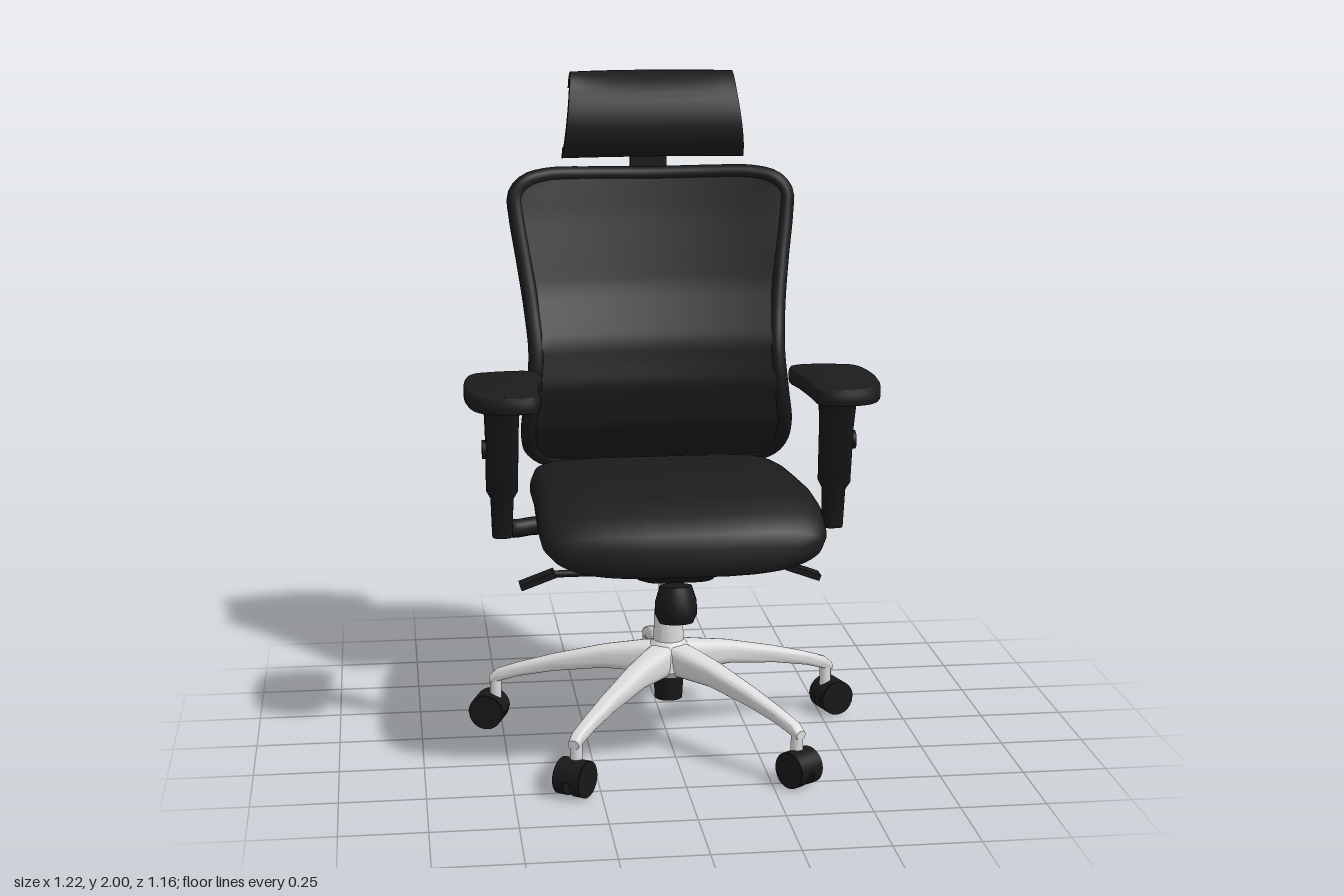
import * as THREE from 'three';
import { toCreasedNormals } from 'three/addons/utils/BufferGeometryUtils.js';

const V = (x, y, z) => new THREE.Vector3(x, y, z);
const mat = (name, color, side = THREE.FrontSide) => {
  const m = new THREE.MeshStandardMaterial({ color, side });
  m.name = name;
  return m;
};
const spow = (v, e) => Math.sign(v) * Math.pow(Math.abs(v), e);

// Skin over rings of equal length; ends closed by zipping opposite points
function loft(rings, crease = 0.7) {
  const n = rings[0].length, pos = [], idx = [];
  rings.forEach(r => r.forEach(p => pos.push(p.x, p.y, p.z)));
  for (let i = 0; i < rings.length - 1; i++)
    for (let j = 0; j < n; j++) {
      const a = i * n + j, b = i * n + (j + 1) % n;
      idx.push(a, b, a + n, b, b + n, a + n);
    }
  const last = (rings.length - 1) * n;
  for (let j = 0; j < n / 2 - 1; j++) {
    const a = j, b = j + 1, c = n - 2 - j, d = n - 1 - j;
    idx.push(a, d, b, b, d, c);
    idx.push(last + a, last + b, last + d, last + b, last + c, last + d);
  }
  // turn faces outward using the enclosed volume
  let vol = 0;
  const at = k => V(pos[3 * k], pos[3 * k + 1], pos[3 * k + 2]);
  for (let k = 0; k < idx.length; k += 3) vol += at(idx[k]).dot(at(idx[k + 1]).cross(at(idx[k + 2])));
  if (vol < 0) idx.reverse();
  const g = new THREE.BufferGeometry();
  g.setAttribute('position', new THREE.Float32BufferAttribute(pos, 3));
  g.setIndex(idx);
  return toCreasedNormals(g, crease);
}

// Outline of a strip of given thickness around a [z, y] centre line
function stripOutline(points, thick, steps) {
  const c = new THREE.CatmullRomCurve3(points.map(([z, y]) => V(0, y, z)));
  const a = [], b = [];
  for (let i = 0; i <= steps; i++) {
    const p = c.getPoint(i / steps), t = c.getTangent(i / steps);
    const o = V(0, -t.z, t.y).multiplyScalar(thick / 2);
    a.push(p.clone().add(o));
    b.unshift(p.clone().sub(o));
  }
  return { a, b };
}

// Flat strap following a [z, y] path with width varying along it
function strap(points, thick, w0, w1, steps = 28) {
  const { a, b } = stripOutline(points, thick, steps);
  return loft(a.map((p, i) => {
    const q = b[b.length - 1 - i], w = w0 + (w1 - w0) * i / steps;
    return [V(-w, p.y, p.z), V(w, p.y, p.z), V(w, q.y, q.z), V(-w, q.y, q.z)];
  }), 0.6);
}

const superRing = (f, n = 32) => Array.from({ length: n }, (_, i) => {
  const t = (i + 0.5) / n * Math.PI * 2;
  return f(Math.cos(t), Math.sin(t));
});

export function createModel() {
  const chair = new THREE.Group();
  chair.name = 'officeChair';
  const fabric = mat('blackFabric', 0x1c1c1c);
  const meshCloth = mat('blackMesh', 0x1a1a1a, THREE.DoubleSide);
  const plastic = mat('blackPlastic', 0x181818);
  const metal = mat('polishedMetal', 0xdcdcdc);
  const add = (name, geo, m, parent = chair, x = 0, y = 0, z = 0) => {
    const o = new THREE.Mesh(geo, m);
    o.name = name;
    o.position.set(x, y, z);
    parent.add(o);
    return o;
  };
  const tube = (pts, r, closed = false, seg = 32) =>
    new THREE.TubeGeometry(new THREE.CatmullRomCurve3(pts, closed), seg, r, 12, closed);

  // Five-star base with hub and gas column
  const base = new THREE.Group();
  base.name = 'base';
  base.position.z = 0.07;
  chair.add(base);
  const profile = [[0, 0.21], [0.07, 0.21], [0.085, 0.23], [0.078, 0.28], [0.046, 0.315], [0.043, 0.41], [0.031, 0.415], [0.031, 0.53]];
  add('hubAndColumn', toCreasedNormals(new THREE.LatheGeometry(profile.map(p => new THREE.Vector2(...p)), 28), 0.6), metal, base);
  add('hubPlug', new THREE.CylinderGeometry(0.047, 0.042, 0.09, 24), plastic, base, 0, 0.175, 0);
  const legStations = [[0, 0.05, 0.31, 0.21], [0.08, 0.044, 0.303, 0.212], [0.2, 0.035, 0.283, 0.214],
    [0.36, 0.026, 0.243, 0.192], [0.47, 0.021, 0.21, 0.168], [0.54, 0.019, 0.185, 0.145], [0.562, 0.017, 0.165, 0.14]];
  const legGeo = loft(legStations.map(([r, w, t, b]) =>
    superRing((c, s) => V(w * spow(c, 0.6), (t + b) / 2 + (t - b) / 2 * spow(s, 0.6), -r), 20)));
  const wheelGeo = toCreasedNormals(new THREE.CylinderGeometry(0.053, 0.053, 0.034, 24).rotateZ(Math.PI / 2), 0.6);
  const hoodShape = new THREE.Shape();
  hoodShape.absarc(0, 0, 0.055, 0, Math.PI, false);
  const hoodGeo = new THREE.ExtrudeGeometry(hoodShape, { depth: 0.084, bevelEnabled: false, curveSegments: 16 });
  hoodGeo.translate(0, 0, -0.042).rotateY(Math.PI / 2);
  const casterReach = [0.585, 0.567, 0.555, 0.555, 0.567];
  casterReach.forEach((reach, i) => {
    const arm = new THREE.Group();
    arm.name = 'baseLeg';
    arm.rotation.y = i * Math.PI * 2 / 5;
    base.add(arm);
    add('leg', legGeo, metal, arm);
    add('casterPin', new THREE.CylinderGeometry(0.018, 0.018, 0.08, 14), metal, arm, 0, 0.125, -0.545);
    add('casterHood', hoodGeo, plastic, arm, 0, 0.053, -reach);
    for (const s of [-1, 1]) add('casterWheel', wheelGeo, plastic, arm, s * 0.027, 0.053, -reach);
  });

  // Seat cushion, bowed at the front edge
  const seatStations = [[0.568, 0.33, 0.73, 0.665], [0.552, 0.385, 0.768, 0.645], [0.5, 0.408, 0.81, 0.64], [0.4, 0.413, 0.845, 0.64],
    [0.25, 0.41, 0.856, 0.64], [0.05, 0.403, 0.845, 0.64], [-0.15, 0.402, 0.822, 0.645], [-0.28, 0.38, 0.802, 0.69], [-0.35, 0.33, 0.785, 0.745]];
  add('seatCushion', loft(seatStations.map(([z, w, t, b]) => superRing((c, s) => {
    const x = w * spow(c, 0.45);
    const y = (t + b) / 2 + (t - b) / 2 * spow(s, s > 0 ? 0.55 : 1.35);
    return V(x, y, z - 0.045 * (x / 0.41) ** 2 * Math.max(0, z / 0.56));
  }, 48)), 1.0), fabric);

  // Tilt mechanism below the seat
  add('seatPlate', new THREE.BoxGeometry(0.46, 0.03, 0.5), plastic, chair, 0, 0.65, 0.07);
  const mech = [[0.36, 0.09, 0.65, 0.6], [0.31, 0.11, 0.65, 0.56], [0.12, 0.115, 0.65, 0.51], [0, 0.11, 0.65, 0.51], [-0.24, 0.09, 0.63, 0.575]];
  add('tiltMechanism', loft(mech.map(([z, w, t, b]) =>
    superRing((c, s) => V(w * spow(c, 0.4), (t + b) / 2 + (t - b) / 2 * spow(s, 0.4), z), 24))), plastic);
  const knobProfile = [[0, -0.055], [0.05, -0.055], [0.062, -0.03], [0.062, 0.01], [0.048, 0.055], [0, 0.055]];
  add('tensionKnob', toCreasedNormals(new THREE.LatheGeometry(knobProfile.map(p => new THREE.Vector2(...p)), 20), 0.7),
    plastic, chair, 0, 0.478, 0.25).rotation.x = -0.12;

  for (const s of [-1, 1]) {
    const side = s > 0 ? 'left' : 'right';
    // Levers
    add(side + 'LeverRod', tube([V(s * 0.08, 0.545, 0.12), V(s * 0.36, 0.545, 0.12)], 0.011), plastic);
    add(side + 'LeverPaddle', new THREE.BoxGeometry(0.11, 0.018, 0.055), plastic, chair, s * 0.4, 0.53, 0.12).rotation.z = -s * 0.35;
    add(side + 'ShortLever', new THREE.SphereGeometry(1, 14, 10).scale(0.04, 0.028, 0.055), plastic, chair, s * 0.235, 0.595, 0.2);
    add(side + 'SeatBracket', tube([V(s * 0.33, 0.645, 0.02), V(s * 0.25, 0.645, 0.03), V(s * 0.18, 0.615, 0.05), V(s * 0.08, 0.6, 0.06)], 0.018), plastic);

    // Armrest: pad, post, elbow, clamp and button
    const arm = new THREE.Group();
    arm.name = side + 'Armrest';
    chair.add(arm);
    const outline = [[0.39, -0.02], [0.43, -0.038], [0.52, -0.03], [0.58, 0], [0.6, 0.12], [0.593, 0.25], [0.565, 0.325],
      [0.5, 0.353], [0.435, 0.35], [0.41, 0.32], [0.405, 0.22], [0.395, 0.1], [0.382, 0.02]];
    const shape = new THREE.Shape(new THREE.SplineCurve([...outline, outline[0]].map(([x, z]) => new THREE.Vector2(s * x, -z))).getPoints(60).slice(0, -1));
    const pad = new THREE.ExtrudeGeometry(shape, { depth: 0.022, bevelSize: 0.01, bevelThickness: 0.014, bevelSegments: 3 });
    add('armPad', toCreasedNormals(pad.rotateX(-Math.PI / 2), 0.7), fabric, arm, 0, 1.098, 0);
    const post = [[1.085, 0.14, 0.068, 0.13], [1.055, 0.125, 0.052, 0.075], [0.98, 0.115, 0.049, 0.055], [0.8, 0.09, 0.047, 0.047],
      [0.775, 0.082, 0.034, 0.04], [0.655, 0.07, 0.03, 0.038]];
    add('armPost', loft(post.map(([y, zc, hx, hz]) =>
      superRing((c, t) => V(s * 0.5 + hx * spow(c, 0.6), y, zc + hz * spow(t, 0.6)), 24))), plastic, arm);
    add('armElbow', tube([V(s * 0.5, 0.76, 0.075), V(s * 0.5, 0.7, 0.07), V(s * 0.475, 0.675, 0.06), V(s * 0.4, 0.672, 0.03), V(s * 0.33, 0.665, 0.01)], 0.028), plastic, arm);
    add('armClamp', new THREE.CylinderGeometry(0.034, 0.034, 0.12, 16).rotateX(Math.PI / 2), plastic, arm, s * 0.32, 0.648, 0.015);
    add('heightButton', new THREE.CylinderGeometry(0.028, 0.028, 0.03, 16).rotateZ(Math.PI / 2), plastic, arm, s * 0.543, 0.93, 0.11);
  }

  // Backrest: curved mesh panel over a tubular frame
  const zs = [[0.76, -0.33], [0.81, -0.28], [0.92, -0.21], [1.05, -0.178], [1.18, -0.2], [1.34, -0.28], [1.55, -0.345], [1.72, -0.39]];
  const backZ = (x, y) => {
    let i = 0;
    while (i < zs.length - 2 && y > zs[i + 1][0]) i++;
    const f = (y - zs[i][0]) / (zs[i + 1][0] - zs[i][0]);
    const bend = THREE.MathUtils.clamp(0.03 + (y - 0.85) * 0.06, 0.02, 0.045);
    return zs[i][1] + (zs[i + 1][1] - zs[i][1]) * f - bend * (1 - Math.min(1, (x / 0.4) ** 2));
  };
  const half = [[0, 1.672], [0.18, 1.675], [0.32, 1.675], [0.39, 1.658], [0.422, 1.62], [0.42, 1.56], [0.4, 1.42], [0.382, 1.28],
    [0.373, 1.15], [0.385, 1.02], [0.398, 0.92], [0.385, 0.84], [0.33, 0.8], [0.15, 0.79], [0, 0.79]];
  const sideCurve = new THREE.SplineCurve(half.map(p => new THREE.Vector2(...p)));
  const rows = 70, cols = 16, edge = sideCurve.getPoints(rows);
  const panel = new THREE.PlaneGeometry(1, 1, cols, rows);
  const pp = panel.attributes.position;
  for (let i = 0; i <= rows; i++)
    for (let j = 0; j <= cols; j++) {
      const x = edge[i].x * (j / cols * 2 - 1), y = edge[i].y;
      pp.setXYZ(i * (cols + 1) + j, x, y, backZ(x, y) + 0.015);
    }
  panel.computeVertexNormals();
  add('backMesh', panel, meshCloth);
  const loop = [...half, ...half.slice(1, -1).reverse().map(([x, y]) => [-x, y])];
  add('backFrame', tube(loop.map(([x, y]) => V(x, y, backZ(x, y) - 0.004)), 0.025, true, 160), plastic);

  // Lumbar band wrapping behind the backrest
  const band = [];
  for (let i = 0; i <= 24; i++) {
    const u = i / 12 - 1, k = Math.abs(u) ** 2.2, x = u * 0.385, z = -0.385 + 0.16 * k;
    const low = 0.985 + 0.04 * k, high = 1.145 + 0.035 * k;
    band.push([V(x, low, z + 0.014), V(x, high, z + 0.014), V(x, high, z - 0.014), V(x, low, z - 0.014)]);
  }
  add('lumbarBand', loft(band, 0.6), plastic);

  // Spine: tapered upper strap, flared panel and doubled lower straps curving under the seat
  add('upperSpine', strap([[-0.45, 1.97], [-0.453, 1.85], [-0.455, 1.71], [-0.438, 1.5], [-0.408, 1.25], [-0.395, 1.08]], 0.028, 0.045, 0.075), plastic);
  add('flaredSpinePanel', strap([[-0.432, 1.62], [-0.41, 1.5], [-0.375, 1.25], [-0.368, 1.13]], 0.012, 0.06, 0.17), plastic);
  add('lowerSpine', strap([[-0.39, 1.06], [-0.395, 0.98], [-0.43, 0.83], [-0.413, 0.7], [-0.33, 0.615], [-0.2, 0.585], [-0.08, 0.56]], 0.034, 0.09, 0.085), plastic);
  add('lowerSpineInner', strap([[-0.35, 1.03], [-0.352, 0.95], [-0.382, 0.82], [-0.367, 0.71], [-0.3, 0.655], [-0.16, 0.62]], 0.034, 0.085, 0.08), plastic);

  // Headrest: curled shell with ends swept forward, on a slim bracket
  const curl = stripOutline([[-0.448, 1.955], [-0.43, 1.978], [-0.37, 1.97], [-0.31, 1.92], [-0.281, 1.84], [-0.293, 1.785], [-0.33, 1.755], [-0.375, 1.752]], 0.032, 24);
  const curlRing = [...curl.a, ...curl.b], head = [];
  for (let i = 0; i <= 20; i++) {
    const u = i / 10 - 1;
    head.push(curlRing.map(p => V(u * (0.25 + 0.03 * (2 - p.y) / 0.26), p.y,
      p.z + 0.075 * Math.abs(u) ** 2.5 * Math.max(0, (-0.3 - p.z) / 0.17))));
  }
  add('headrest', loft(head, 0.8), fabric);
  add('headrestBracket', strap([[-0.425, 1.96], [-0.4, 1.9], [-0.395, 1.82], [-0.38, 1.755]], 0.025, 0.05, 0.06), plastic);
  add('headrestMount', new THREE.BoxGeometry(0.1, 0.07, 0.05), plastic, chair, 0, 1.8, -0.425);

  return chair;
}
